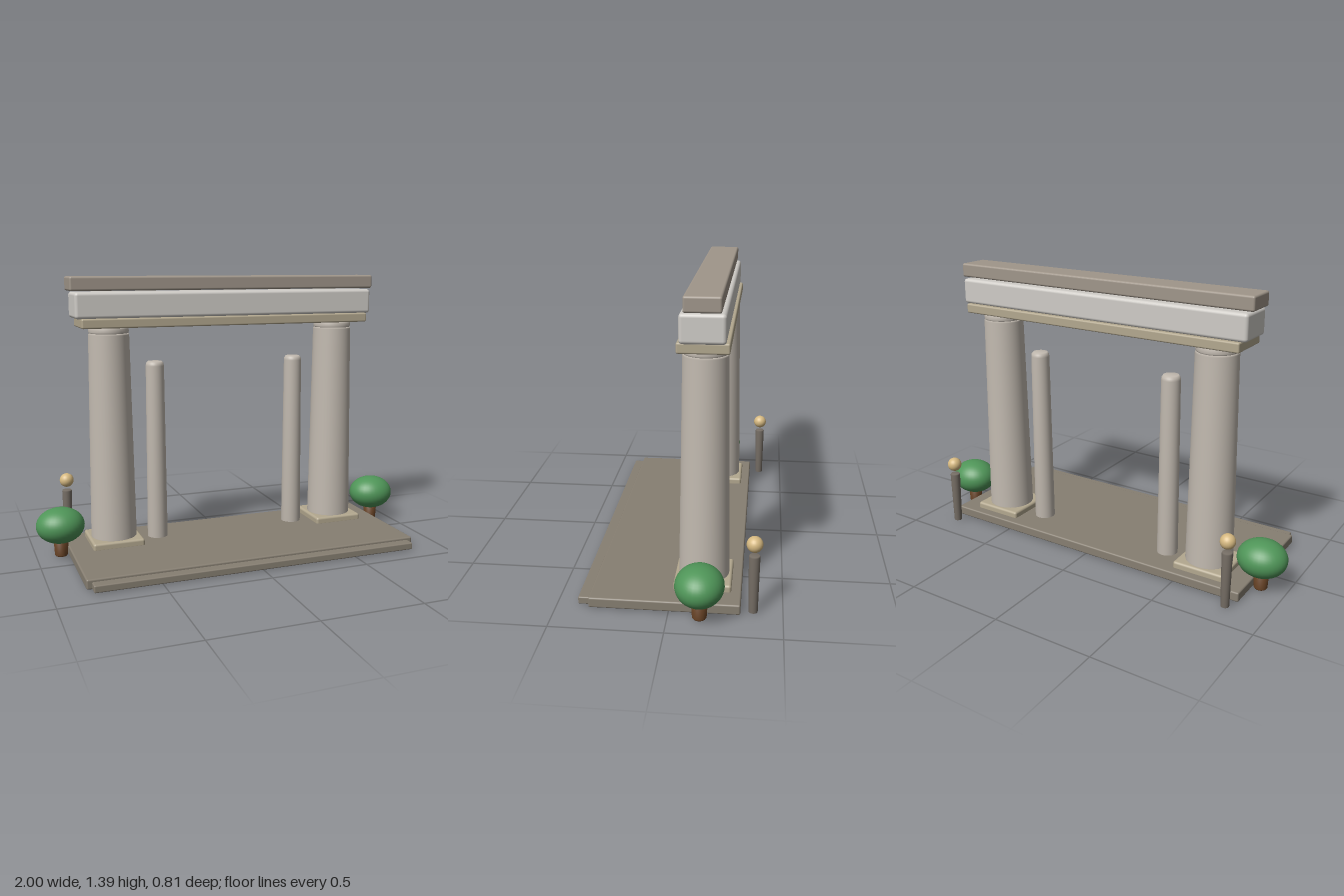
import * as THREE from 'three';
import { RoundedBoxGeometry } from 'three/addons/geometries/RoundedBoxGeometry.js';

const AXIS_Z = -0.14; // line on which columns, beams and shrubs stand

const mat = (color) => new THREE.MeshStandardMaterial({ color });
const stone = mat(0xc2bab0);
const paleStone = mat(0xcfccc7);
const sandStone = mat(0xb3a88f);
const capStone = mat(0xa0968a);
const paving = mat(0x877f72);
const postMetal = mat(0x776f66);
const lampGlow = mat(0xd6b981);
const bark = mat(0x6b4527);
const leaf = mat(0x4f9558);
const innerFloor = mat(0x6e6440);

export function createModel() {
  const model = new THREE.Group();
  model.name = 'colonnadeGate';

  const add = (parent, name, geometry, material, x = 0, y = 0, z = 0) => {
    const mesh = new THREE.Mesh(geometry, material);
    mesh.name = name;
    mesh.position.set(x, y, z);
    parent.add(mesh);
    return mesh;
  };

  // Rounded block given by its extents
  const block = (parent, name, material, [x0, x1], [y0, y1], [z0, z1], r) =>
    add(parent, name, new RoundedBoxGeometry(x1 - x0, y1 - y0, z1 - z0, 3, r), material,
      (x0 + x1) / 2, (y0 + y1) / 2, (z0 + z1) / 2);

  // Turned part from radius and height pairs
  const turned = (parent, name, material, profile) =>
    add(parent, name, new THREE.LatheGeometry(profile.map(([r, y]) => new THREE.Vector2(r, y)), 40), material);

  // Platform, front step and the floor slab let into it
  block(model, 'platform', paving, [-0.845, 0.845], [0.007, 0.055], [-0.315, 0.355], 0.008);
  block(model, 'frontStep', paving, [-0.82, 0.82], [0.007, 0.042], [0.25, 0.405], 0.006);
  add(model, 'floorSlab', new THREE.BoxGeometry(0.74, 0.03, 0.28), innerFloor, 0, 0.018, 0.05);

  // Three stacked beams
  block(model, 'lowerBeam', sandStone, [-0.76, 0.76], [1.145, 1.192], [-0.25, -0.028], 0.008);
  block(model, 'middleBeam', paleStone, [-0.787, 0.787], [1.19, 1.316], [-0.236, -0.041], 0.016);
  block(model, 'topBeam', capStone, [-0.806, 0.806], [1.322, 1.39], [-0.218, -0.06], 0.01);

  for (const [side, s] of [['left', 1], ['right', -1]]) {
    // Main column on its plinth
    const column = new THREE.Group();
    column.name = side + 'Column';
    column.position.set(s * 0.61, 0, AXIS_Z);
    model.add(column);
    block(column, 'plinth', sandStone, [-0.13, 0.13], [0.045, 0.087], [-0.13, 0.13], 0.012);
    turned(column, 'shaft', stone, [[0, 0.05], [0.115, 0.05], [0.115, 0.09], [0.1, 1.108], [0.097, 1.116], [0, 1.116]]);
    turned(column, 'neckRing', stone, [[0.09, 1.11], [0.096, 1.115], [0.0985, 1.122], [0.0985, 1.138], [0.094, 1.148], [0, 1.148]]);
    add(column, 'footing', new THREE.CylinderGeometry(0.11, 0.11, 0.03, 32), paleStone, 0, 0.017, 0);

    // Slim inner pillar with rounded top
    const pillar = turned(model, side + 'InnerPillar', stone,
      [[0, 0.04], [0.052, 0.04], [0.046, 0.945], [0.044, 0.958], [0.036, 0.968], [0, 0.968]]);
    pillar.position.set(s * 0.38, 0, AXIS_Z);

    // Lamp behind the platform
    const lamp = new THREE.Group();
    lamp.name = side + 'Lamp';
    lamp.position.set(s * 0.806, 0, -0.37);
    model.add(lamp);
    turned(lamp, 'post', postMetal, [[0, 0.008], [0.02, 0.008], [0.025, 0.275], [0.022, 0.281], [0, 0.281]]);
    add(lamp, 'globe', new THREE.SphereGeometry(0.036, 24, 16), lampGlow, 0, 0.333, 0);

    // Round shrub beside the platform
    const shrub = new THREE.Group();
    shrub.name = side + 'Shrub';
    shrub.position.set(s * 0.88, 0, AXIS_Z);
    model.add(shrub);
    turned(shrub, 'trunk', bark, [[0, 0.008], [0.028, 0.008], [0.032, 0.014], [0.037, 0.1], [0, 0.1]]);
    add(shrub, 'foliage', new THREE.SphereGeometry(1, 32, 24), leaf, 0, 0.165, 0).scale.set(0.12, 0.09, 0.108);
  }

  return model;
}
